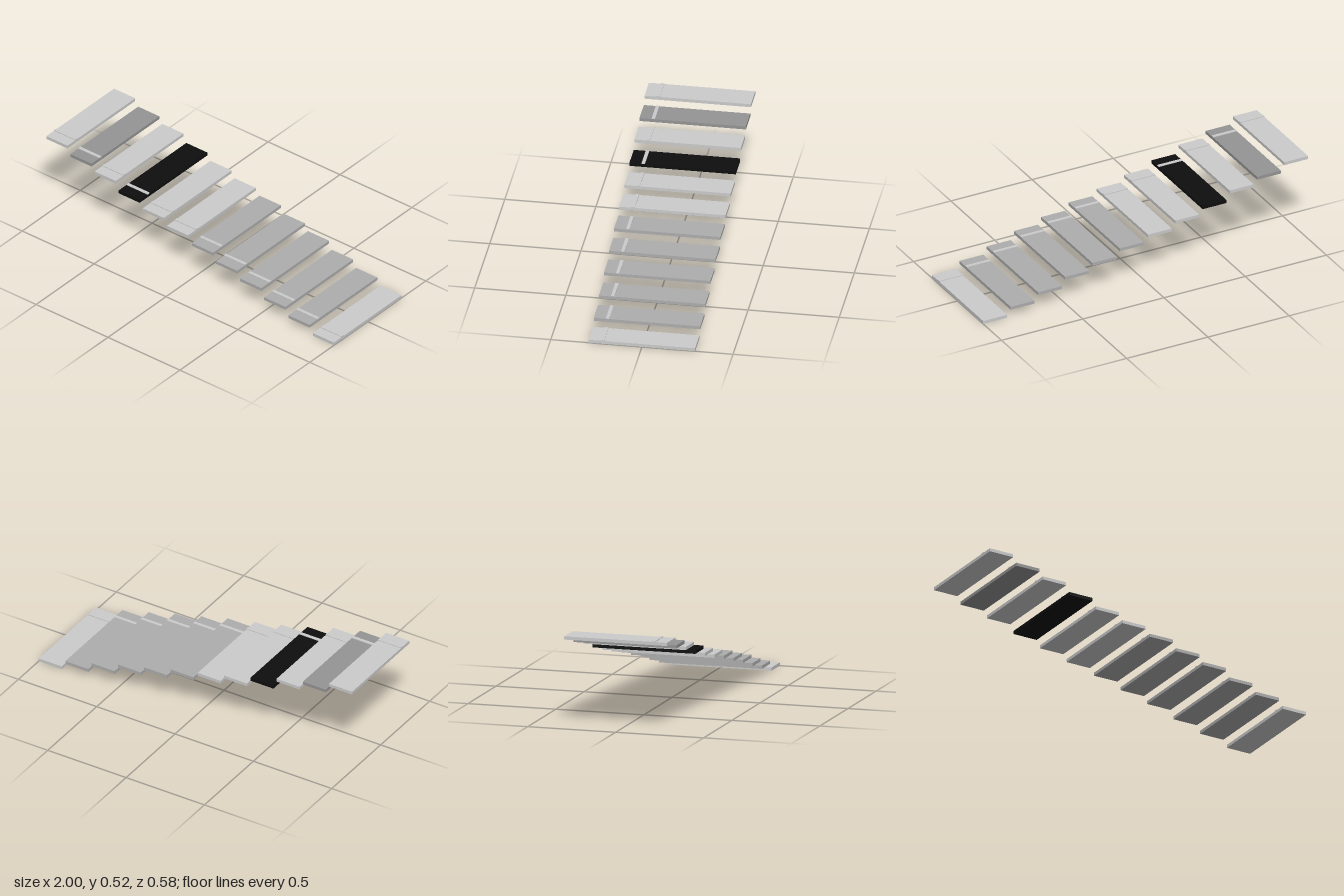
import * as THREE from 'three';

const WIDTH = 0.147, THICK = 0.018, DEPTH = 0.584;

// Centre x, underside y and colour of each tread, from the top step down
const LIGHT = 0xcccccc, MID = 0xaeaeae, DARK = 0x959595, BLACK = 0x0e0e0e;
const TREADS = [
  [-0.9265, 0.494, LIGHT], [-0.759, 0.448, DARK], [-0.591, 0.407, LIGHT],
  [-0.424, 0.354, BLACK], [-0.256, 0.309, LIGHT], [-0.088, 0.267, LIGHT],
  [0.086, 0.228, MID], [0.254, 0.182, MID], [0.422, 0.14, MID],
  [0.589, 0.089, MID], [0.757, 0.043, MID], [0.9265, 0, LIGHT],
];

function box(name, w, h, d, y, z, color) {
  const material = new THREE.MeshStandardMaterial({ color });
  const mesh = new THREE.Mesh(new THREE.BoxGeometry(w, h, d), material);
  mesh.name = name;
  mesh.position.set(0, y, z);
  return mesh;
}

export function createModel() {
  const stairs = new THREE.Group();
  stairs.name = 'floatingStairs';

  TREADS.forEach(([x, y, color], i) => {
    const step = new THREE.Group();
    step.name = `step${i + 1}`;
    step.position.set(x, y, 0);
    // Flat board
    step.add(box('tread', WIDTH, THICK, DEPTH, THICK / 2, 0, color));
    // Thin raised strip near the front end, sunk slightly into the board
    step.add(box('gripStrip', WIDTH, 0.006, 0.019, THICK + 0.001, 0.216, LIGHT));
    stairs.add(step);
  });

  return stairs;
}
